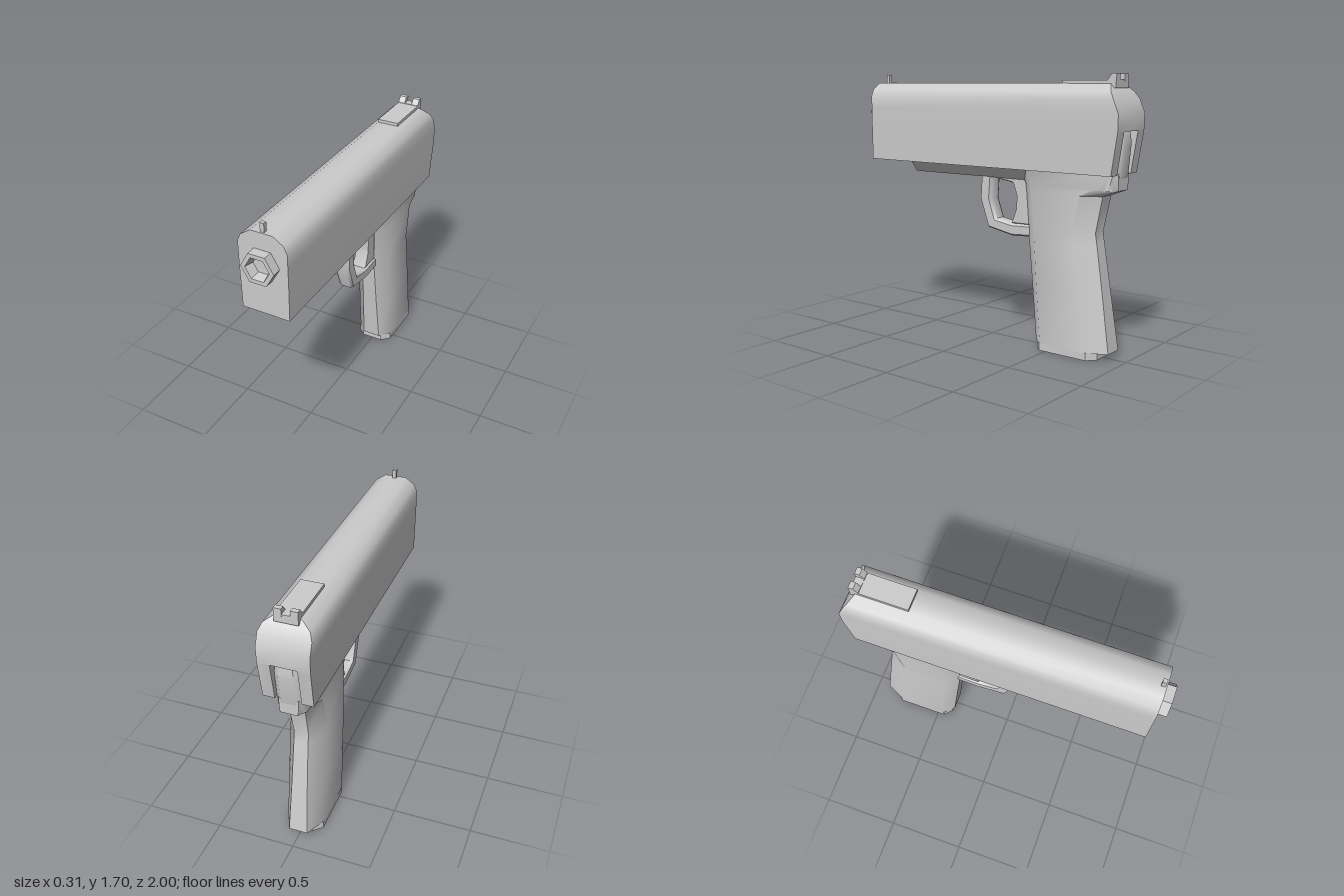
import * as THREE from 'three';
import { toCreasedNormals } from 'three/addons/utils/BufferGeometryUtils.js';

const steel = new THREE.MeshStandardMaterial({ color: 0xcccccc });
steel.name = 'light grey';

const fromTriangles = (pos) => {
  const g = new THREE.BufferGeometry();
  g.setAttribute('position', new THREE.Float32BufferAttribute(pos, 3));
  return g;
};

// Closed skin over stacked rings of [x, y, z], ordered anticlockwise from above
function loft(rings) {
  const pos = [];
  const n = rings[0].length;
  for (let i = 0; i < rings.length - 1; i++) {
    for (let j = 0; j < n; j++) {
      const k = (j + 1) % n, lo = rings[i], hi = rings[i + 1];
      pos.push(...lo[j], ...lo[k], ...hi[k], ...lo[j], ...hi[k], ...hi[j]);
    }
  }
  const bottom = rings[0], top = rings[rings.length - 1];
  for (let j = 1; j < n - 1; j++) {
    pos.push(...bottom[0], ...bottom[j + 1], ...bottom[j]);
    pos.push(...top[0], ...top[j], ...top[j + 1]);
  }
  return fromTriangles(pos);
}

// Horizontal octagon: height, front z, back z, half width, half flat, front and back chamfers
const octagon = ([y, zf, zb, w, f, cf, cb]) => [
  [-f, y, zf], [f, y, zf], [w, y, zf - cf], [w, y, zb + cb],
  [f, y, zb], [-f, y, zb], [-w, y, zb + cb], [-w, y, zf - cf],
];

// Side profile of [z, y] points, extruded across x with chamfered edges
function sideProfile(points, width, chamfer = 0) {
  const shape = new THREE.Shape(points.map(([z, y]) => new THREE.Vector2(z, y)));
  const depth = width - 2 * chamfer;
  const g = new THREE.ExtrudeGeometry(shape, {
    depth, bevelEnabled: chamfer > 0, bevelSegments: 1,
    bevelThickness: chamfer, bevelSize: chamfer * 0.6, bevelOffset: -chamfer * 0.6,
  });
  return g.translate(0, 0, -depth / 2).rotateY(-Math.PI / 2);
}

// Slide body, with a rounded rear and a notch at its lower back
function slideGeometry() {
  const F = 0.94, floor = -0.93, notch = 0.08;
  const rows = [ // height, half width, rear z
    [1.118, 0.152, -0.957], [1.37, 0.155, -0.998], [1.47, 0.155, -1.0],
    [1.55, 0.155, -0.967], [1.596, 0.135, -0.938], [1.64, 0.07, -0.9],
  ];
  const pos = [];
  for (const s of [1, -1]) {
    const quad = (...p) => {
      const q = p.map(([x, y, z]) => [x * s, y, z]);
      if (s < 0) q.reverse();
      const [a, b, c, d] = q;
      pos.push(...a, ...b, ...c, ...a, ...c, ...d);
    };
    for (let i = 0; i < rows.length - 1; i++) {
      const [y0, w0, r0] = rows[i], [y1, w1, r1] = rows[i + 1];
      const n = i === 0 ? notch : 0;
      quad([w0, y0, F], [w0, y0, r0], [w1, y1, r1], [w1, y1, F]);
      quad([0, y0, F], [w0, y0, F], [w1, y1, F], [0, y1, F]);
      quad([w0, y0, r0], [n, y0, r0], [n, y1, r1], [w1, y1, r1]);
      if (n) {
        quad([n, y0, r0], [n, y0, floor], [n, y1, floor], [n, y1, r1]);
        quad([n, y0, floor], [0, y0, floor], [0, y1, floor], [n, y1, floor]);
        quad([0, y1, r1], [n, y1, r1], [n, y1, floor], [0, y1, floor]);
      }
    }
    const [yb, wb, rb] = rows[0], [yt, wt, rt] = rows[rows.length - 1];
    quad([0, yb, floor], [wb, yb, floor], [wb, yb, F], [0, yb, F]);
    quad([notch, yb, rb], [wb, yb, rb], [wb, yb, floor], [notch, yb, floor]);
    quad([0, yt, F], [wt, yt, F], [wt, yt, rt], [0, yt, rt]);
  }
  return fromTriangles(pos);
}

export function createModel() {
  const model = new THREE.Group();
  model.name = 'pistol';
  const add = (name, geometry, crease = 0.75) => {
    const mesh = new THREE.Mesh(toCreasedNormals(geometry, crease), steel);
    mesh.name = name;
    model.add(mesh);
  };
  const box = (w, h, d, x, y, z) => new THREE.BoxGeometry(w, h, d).translate(x, y, z);

  add('slide', slideGeometry());

  // Six-sided barrel end with a tapered bore
  const bore = [[0.105, 0.9], [0.105, 1], [0.077, 1], [0.06, 0.945], [0, 0.942]]
    .map(([r, y]) => new THREE.Vector2(r, y));
  add('barrel', new THREE.LatheGeometry(bore, 6, Math.PI / 2)
    .rotateX(Math.PI / 2).translate(0, 1.443, 0));

  // Chamfered rail under the slide
  const railShape = new THREE.Shape([[-0.05, 1.045], [0.05, 1.045], [0.112, 1.125], [-0.112, 1.125]]
    .map(([x, y]) => new THREE.Vector2(x, y)));
  add('rail', new THREE.ExtrudeGeometry(railShape, { depth: 1.2, bevelEnabled: false })
    .translate(0, 0, -0.58), 0.4);

  // Grip, flaring into the frame at the top
  add('grip', loft([
    [0.045, -0.39, -0.91, 0.122, 0.06, 0.07, 0.13],
    [0.4, -0.352, -0.857, 0.122, 0.05, 0.08, 0.13],
    [0.69, -0.32, -0.812, 0.118, 0.045, 0.09, 0.12],
    [0.76, -0.318, -0.8, 0.117, 0.045, 0.09, 0.12],
    [0.985, -0.303, -0.848, 0.112, 0.05, 0.08, 0.12],
    [1.025, -0.3, -0.955, 0.11, 0.055, 0.07, 0.14],
    [1.125, -0.27, -0.955, 0.11, 0.06, 0.07, 0.12],
  ].map(octagon)));

  // Back plate rising into the slide notch
  add('backPlate', loft([
    [1.02, -0.8, -0.94, 0.085, 0.05, 0.02, 0.04],
    [1.12, -0.8, -0.96, 0.078, 0.045, 0.02, 0.03],
    [1.3, -0.8, -0.978, 0.078, 0.045, 0.02, 0.03],
    [1.37, -0.8, -0.97, 0.07, 0.04, 0.02, 0.03],
  ].map(octagon)));

  add('magazineBase', loft([0, 0.046].map((y) =>
    octagon([y, -0.405, -0.84, 0.122, 0.07, 0.05, 0.05]))), 0.4);

  // Trigger guard and trigger
  add('triggerGuard', sideProfile([
    [0.06, 1.06], [0.07, 0.9], [0.005, 0.716], [-0.187, 0.68], [-0.36, 0.69],
    [-0.36, 0.765], [-0.187, 0.758], [-0.06, 0.78], [-0.016, 0.904], [-0.027, 1.06],
  ], 0.104, 0.02), 0.9);
  add('trigger', sideProfile([
    [-0.04, 1.06], [-0.04, 1.043], [-0.19, 1.02], [-0.22, 0.94], [-0.215, 0.856],
    [-0.18, 0.762], [-0.36, 0.762], [-0.36, 1.06],
  ], 0.09, 0.01), 0.7);

  // Sights
  add('frontSight', box(0.026, 0.07, 0.025, 0, 1.66, 0.917));
  add('rearSightBase', box(0.14, 0.03, 0.33, 0, 1.645, -0.735), 0.3);
  add('rearSightBar', box(0.14, 0.05, 0.055, 0, 1.638, -0.906), 0.3);
  for (const s of [1, -1]) {
    add(s > 0 ? 'leftRearSight' : 'rightRearSight', sideProfile([
      [-0.87, 1.65], [-0.905, 1.697], [-0.936, 1.697], [-0.936, 1.65],
    ], 0.045).translate(s * 0.0475, 0, 0), 0.3);
  }
  return model;
}
